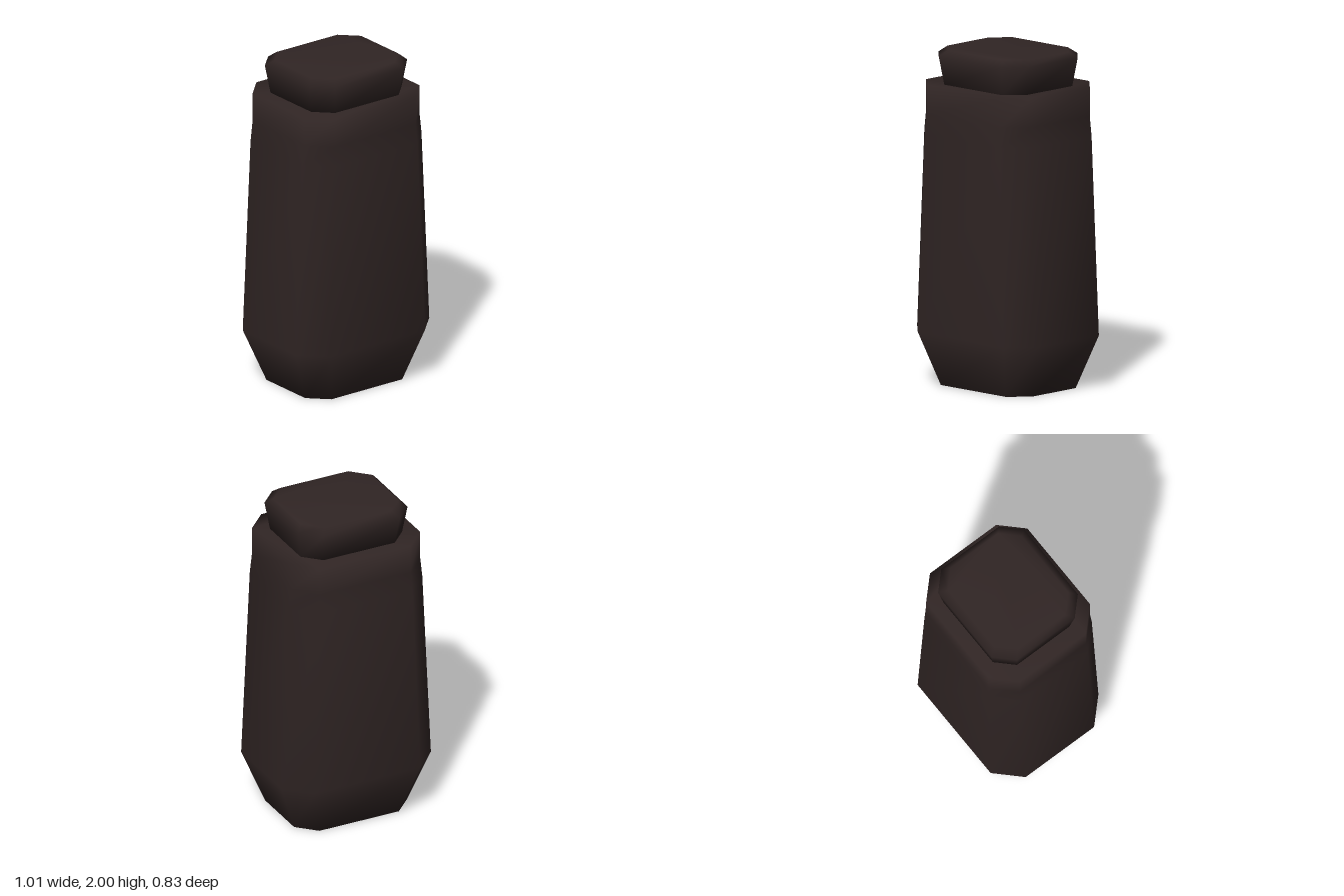
import * as THREE from 'three';

// Smooth loft through chamfered rectangles: each ring is [y, half width, half depth, corner cut]
function loft(rings) {
  const pos = [], idx = [];
  for (const [y, w, d, c] of rings) {
    const corners = [
      [w, d - c], [w - c, d], [c - w, d], [-w, d - c],
      [-w, c - d], [c - w, -d], [w - c, -d], [w, c - d],
    ];
    for (const [x, z] of corners) pos.push(x, y, z);
  }
  const last = (rings.length - 1) * 8;
  for (let r = 0; r < last; r += 8) {
    for (let i = 0; i < 8; i++) {
      const j = (i + 1) % 8;
      idx.push(r + i, r + j, r + 8 + i, r + j, r + 8 + j, r + 8 + i);
    }
  }
  // end caps
  for (let i = 1; i < 7; i++) {
    idx.push(0, i + 1, i);
    idx.push(last, last + i, last + i + 1);
  }
  const g = new THREE.BufferGeometry();
  g.setAttribute('position', new THREE.Float32BufferAttribute(pos, 3));
  // corners run clockwise seen from above, so reverse every face
  for (let i = 0; i < idx.length; i += 3) [idx[i + 1], idx[i + 2]] = [idx[i + 2], idx[i + 1]];
  g.setIndex(idx);
  g.computeVertexNormals();
  return g;
}

export function createModel() {
  const group = new THREE.Group();
  group.name = 'bottle';
  const dark = new THREE.MeshStandardMaterial({ color: 0x302524 });
  dark.name = 'dark brown';

  const add = (name, rings) => {
    const mesh = new THREE.Mesh(loft(rings), dark);
    mesh.name = name;
    mesh.rotation.y = 0.04; // slight twist of the whole bottle
    group.add(mesh);
  };

  // tapered body with a stepped-in collar and flat rim
  add('body', [
    [0, 0.372, 0.295, 0.11],
    [0.32, 0.494, 0.4, 0.146],
    [1.5, 0.44, 0.384, 0.135],
    [1.62, 0.428, 0.376, 0.13],
    [1.795, 0.428, 0.376, 0.13],
  ]);

  // stopper flaring upward, with a bevelled top
  add('stopper', [
    [1.79, 0.334, 0.294, 0.1],
    [1.965, 0.361, 0.32, 0.106],
    [2, 0.322, 0.275, 0.1],
  ]);
  return group;
}
